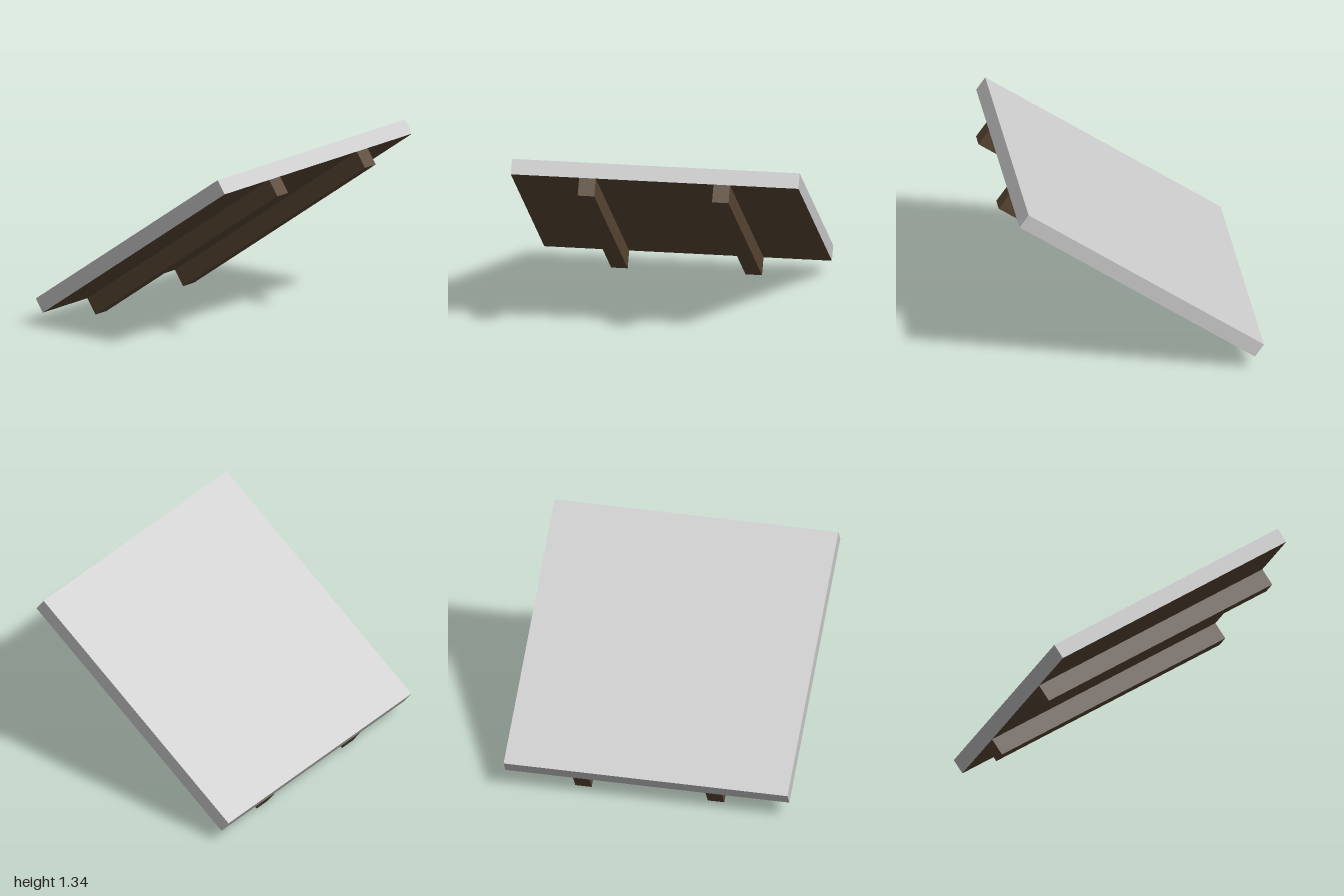
import * as THREE from 'three';

const LENGTH = 2, WIDTH = 2;
const SLAB = 0.11, BEAM = 0.127, BEAM_WIDTH = 0.115;
const TILT = THREE.MathUtils.degToRad(35);

export function createModel() {
  const grey = new THREE.MeshStandardMaterial({ color: 0xcccccc });
  grey.name = 'pale grey';
  const brown = new THREE.MeshStandardMaterial({ color: 0x5a4735 });
  brown.name = 'dark brown';

  const model = new THREE.Group();
  model.name = 'slopingPanel';

  // Everything is built flat, then tilted up towards +x
  const panel = new THREE.Group();
  panel.name = 'tiltedPanel';
  const total = SLAB + BEAM;
  panel.rotation.z = TILT;
  panel.position.y = (LENGTH * Math.sin(TILT) + total * Math.cos(TILT)) / 2;
  model.add(panel);

  // Grey slab with a brown underside (face group 3 is the bottom)
  const slab = new THREE.Mesh(
    new THREE.BoxGeometry(LENGTH, SLAB, WIDTH),
    [grey, grey, grey, brown, grey, grey]
  );
  slab.name = 'roofSlab';
  slab.position.y = (total - SLAB) / 2;
  panel.add(slab);

  // Two beams running up the slope under the slab
  for (const side of [-1, 1]) {
    const beam = new THREE.Mesh(new THREE.BoxGeometry(LENGTH, BEAM, BEAM_WIDTH), brown);
    beam.name = side > 0 ? 'frontBeam' : 'backBeam';
    beam.position.set(0, (BEAM - total) / 2, side * 0.467);
    panel.add(beam);
  }

  return model;
}
